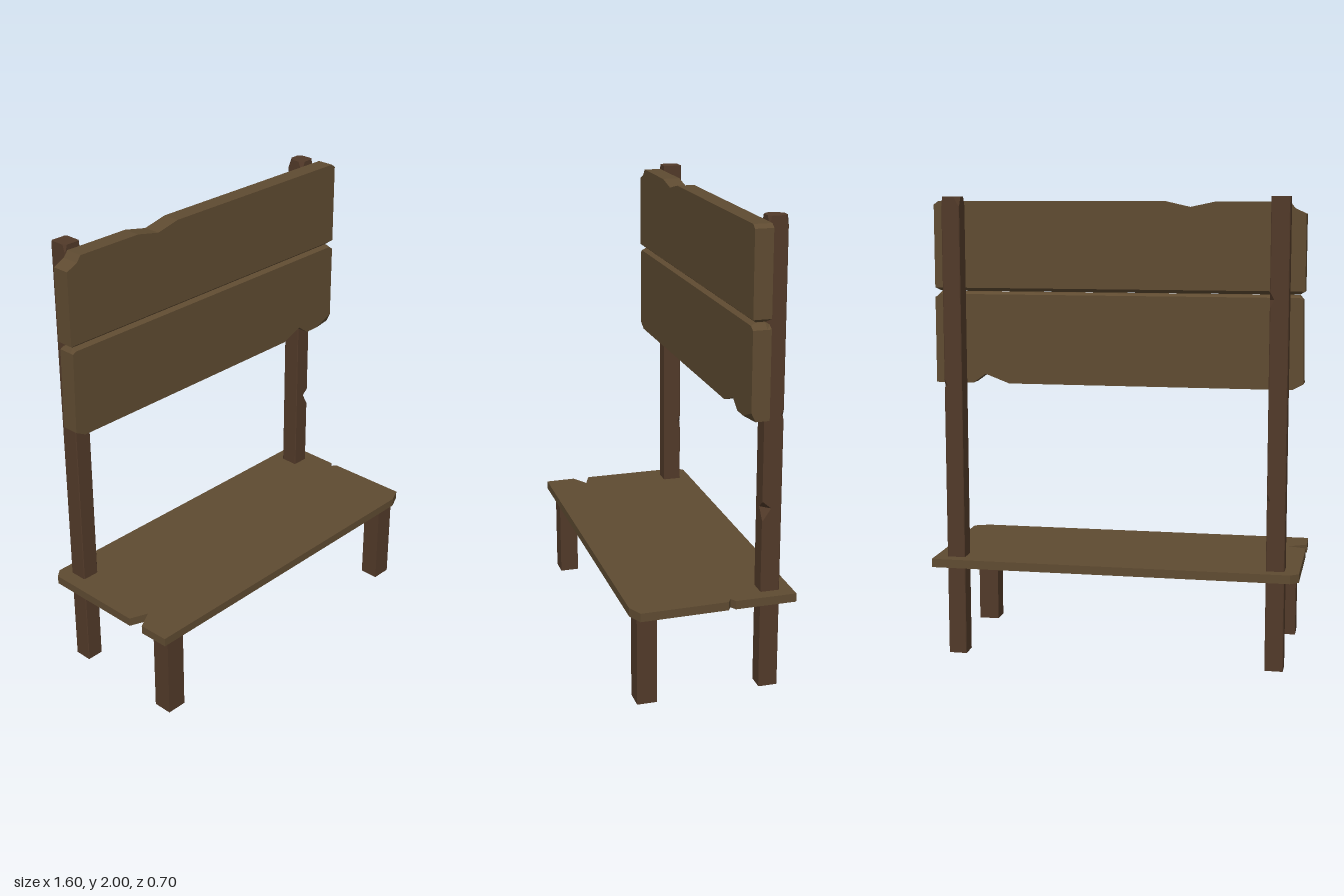
import * as THREE from 'three';

const boardMat = new THREE.MeshStandardMaterial({ color: 0x5f4b31, flatShading: true });
const postMat = new THREE.MeshStandardMaterial({ color: 0x523a29, flatShading: true });

function part(name, geometry, material) {
  const mesh = new THREE.Mesh(geometry, material);
  mesh.name = name;
  return mesh;
}

function outline(points) {
  return new THREE.Shape(points.map(([x, y]) => new THREE.Vector2(x, y)));
}

// Upright board; rule(vertex, isFront) trims the edges of its front and back faces
function boardGeometry(points, rule) {
  const depth = 0.077, edge = 0.018;
  const g = new THREE.ExtrudeGeometry(outline(points), { depth, steps: 3, bevelEnabled: false });
  const p = g.attributes.position, v = new THREE.Vector3();
  for (let i = 0; i < p.count; i++) {
    v.fromBufferAttribute(p, i);
    const ring = Math.round(v.z / depth * 3);
    v.z = [0, edge, depth - edge, depth][ring];
    if (ring === 0 || ring === 3) rule(v, ring === 3);
    p.setXYZ(i, v.x, v.y, v.z);
  }
  g.translate(0, 0, -0.215);
  g.computeVertexNormals();
  return g;
}

// Square post from levels [y, cuts of the four corners]: +x+z, +x-z, -x-z, -x+z
function postGeometry(hx, hz, levels) {
  const corners = [[1, 1], [1, -1], [-1, -1], [-1, 1]];
  const pos = [], idx = [], n = 8;
  for (const [y, ...cuts] of levels) {
    corners.forEach(([sx, sz], i) => {
      const c = cuts[i] || 0.003;
      const alongX = [sx * (hx - c), y, sz * hz], alongZ = [sx * hx, y, sz * (hz - c)];
      pos.push(...(i % 2 ? [...alongZ, ...alongX] : [...alongX, ...alongZ]));
    });
  }
  const top = (levels.length - 1) * n;
  for (let r = 0; r < top; r += n) {
    for (let j = 0; j < n; j++) {
      const a = r + j, b = r + (j + 1) % n;
      idx.push(a, b, b + n, a, b + n, a + n);
    }
  }
  for (let j = 1; j < n - 1; j++) idx.push(0, j + 1, j, top, top + j, top + j + 1);
  const g = new THREE.BufferGeometry();
  g.setAttribute('position', new THREE.Float32BufferAttribute(pos, 3));
  g.setIndex(idx);
  const flat = g.toNonIndexed();
  flat.computeVertexNormals();
  return flat;
}

export function createModel() {
  const group = new THREE.Group();

  // Seat plank with chipped ends, outline given as x, z
  const seat = new THREE.ExtrudeGeometry(outline([
    [-0.8, -0.32], [-0.765, -0.35], [0.79, -0.353], [0.79, -0.09], [0.765, -0.075], [0.79, -0.06],
    [0.795, 0.315], [0.73, 0.345], [-0.795, 0.35], [-0.798, 0.215], [-0.72, 0.17], [-0.798, 0.14],
  ].map(([x, z]) => [x, -z])), { depth: 0.037, bevelEnabled: false });
  seat.rotateX(-Math.PI / 2).translate(0, 0.403, 0);
  group.add(part('seat', seat, boardMat));

  // Upper back board, bevelled along the seam
  group.add(part('upperBackBoard', boardGeometry([
    [-0.775, 1.597], [0.77, 1.597], [0.795, 1.612], [0.795, 1.965], [0.775, 1.98], [-0.2, 1.98],
    [-0.31, 1.955], [-0.42, 1.978], [-0.725, 1.978], [-0.745, 1.952], [-0.77, 1.94], [-0.797, 1.928],
    [-0.797, 1.61],
  ], (v) => { if (v.y < 1.6) v.y += 0.014; }), boardMat));

  // Lower back board, bevelled along the seam and split at the front lower corner
  group.add(part('lowerBackBoard', boardGeometry([
    [-0.75, 1.2], [0.47, 1.2], [0.575, 1.24], [0.63, 1.2], [0.7, 1.2], [0.795, 1.2],
    [0.795, 1.57], [0.77, 1.594], [-0.775, 1.594], [-0.79, 1.575], [-0.797, 1.225],
  ], (v, front) => {
    if (v.y > 1.59) v.y -= 0.01;
    if (front && v.x > 0.79 && v.y < 1.21) v.y = 1.238;
  }), boardMat));

  // Tall rear posts with small nicks in their corners
  const leftPost = part('leftRearPost', postGeometry(0.039, 0.041, [
    [0.005], [0.755], [0.805, 0.038], [0.835], [1.175], [1.195, 0, 0.014], [1.22],
    [1.96], [2, 0.012, 0.015, 0.025, 0.02],
  ]), postMat);
  leftPost.position.set(0.696, 0, -0.257);
  const rightPost = part('rightRearPost', postGeometry(0.039, 0.041, [
    [0.005], [0.7], [0.74, 0, 0.014], [0.77], [1.55], [1.58, 0, 0.018], [1.61],
    [1.97], [2, 0.006, 0.006, 0.006, 0.012],
  ]), postMat);
  rightPost.position.set(-0.698, 0, -0.257);
  group.add(leftPost, rightPost);

  // Short front legs
  for (const [name, s] of [['leftFrontLeg', 1], ['rightFrontLeg', -1]]) {
    const leg = part(name, new THREE.BoxGeometry(0.09, 0.398, 0.085), postMat);
    leg.position.set(s * 0.705, 0.209, 0.276);
    group.add(leg);
  }
  return group;
}
